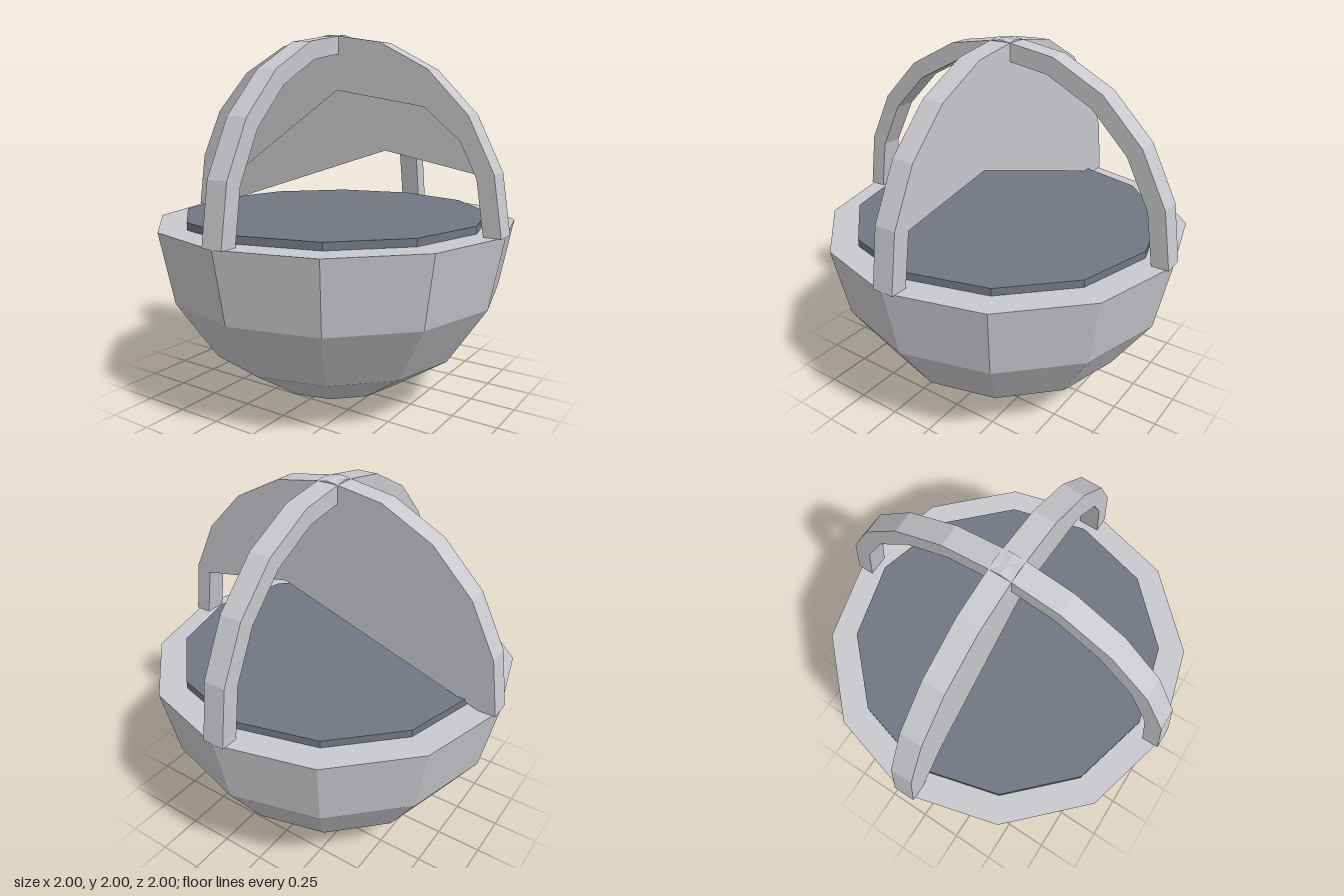
import * as THREE from 'three';

const INNER = 0.907, OUTER = 1, WIDTH = 0.12, STEPS = 10;

// points of a half circle standing on y = 1, from +x over the top to -x
function arc(radius, from = 0) {
  const pts = [];
  for (let i = from; i <= STEPS; i++) {
    const a = (i / STEPS) * Math.PI;
    pts.push(new THREE.Vector2(Math.cos(a) * radius, 1 + Math.sin(a) * radius));
  }
  return pts;
}

export function createModel() {
  const model = new THREE.Group();
  const shell = new THREE.MeshStandardMaterial({ color: 0xc9c8cd, flatShading: true, side: THREE.DoubleSide });
  shell.name = 'light grey';
  const slate = new THREE.MeshStandardMaterial({ color: 0x717681, flatShading: true });
  slate.name = 'slate grey';

  const add = (name, geometry, material) => {
    const mesh = new THREE.Mesh(geometry, material);
    mesh.name = name;
    model.add(mesh);
    return mesh;
  };

  // faceted half-sphere bowl, closed by a flat top
  const profile = [];
  for (let i = 0; i <= 4; i++) {
    const a = (i / 4) * Math.PI / 2;
    profile.push(new THREE.Vector2(Math.sin(a), 1 - Math.cos(a)));
  }
  profile.push(new THREE.Vector2(0, 1));
  add('bowl', new THREE.LatheGeometry(profile, 12), shell);

  // inset disc on the bowl
  add('topDisc', new THREE.CylinderGeometry(0.85, 0.85, 0.04, 12).translate(0, 1.02, 0), slate);

  // two crossing arches
  const ring = new THREE.Shape([...arc(OUTER), ...arc(INNER).reverse()]);
  const archGeometry = new THREE.ExtrudeGeometry(ring, { depth: WIDTH, bevelEnabled: false }).translate(0, 0, -WIDTH / 2);
  add('sideArch', archGeometry, shell);
  add('frontBackArch', archGeometry, shell).rotation.y = Math.PI / 2;

  // thin webs filling part of the side arch, one on each face
  const web = (name, edge, z) => {
    const pts = edge.map(([x, y]) => new THREE.Vector2(x, y));
    return (start) => add(name, new THREE.ShapeGeometry(new THREE.Shape([...arc(INNER, start), ...pts])).translate(0, 0, z), shell);
  };
  web('frontWeb', [[-0.72, 1.19], [0.05, 1.708], [0.57, 1.626], [0.77, 1.463]], WIDTH / 2)(2);
  web('backWeb', [[0.284, 1.387]], -WIDTH / 2)(1);

  return model;
}
